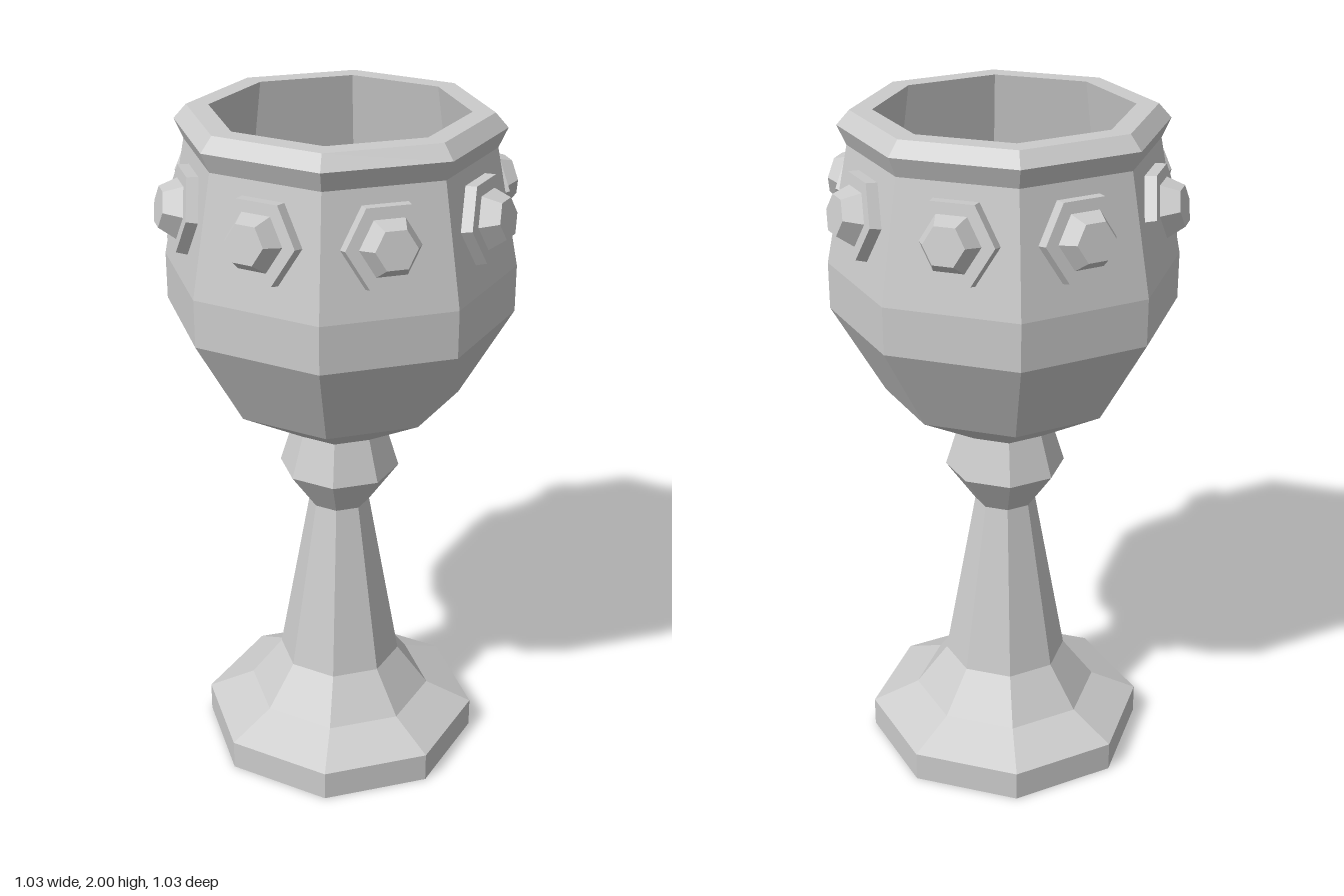
import * as THREE from 'three';

const SIDES = 8;
const material = new THREE.MeshStandardMaterial({ color: 0xcccccc, flatShading: true });

function addMesh(parent, name, geometry) {
  const mesh = new THREE.Mesh(geometry, material);
  mesh.name = name;
  parent.add(mesh);
  return mesh;
}

// Octagonal turning; profile points are [distance to the flat, height]
function turned(profile) {
  const k = 1 / Math.cos(Math.PI / SIDES);
  const points = profile.map(([r, y]) => new THREE.Vector2(r * k, y));
  return new THREE.LatheGeometry(points, SIDES, Math.PI / SIDES);
}

// Tapered hexagonal plate along +z, with corners to the left and right
function hexPlate(rBack, rFront, zBack, zFront) {
  const g = new THREE.CylinderGeometry(rFront, rBack, zFront - zBack, 6, 1, false, Math.PI / 6);
  return g.rotateX(Math.PI / 2).translate(0, 0, (zBack + zFront) / 2);
}

export function createModel() {
  const goblet = new THREE.Group();
  goblet.name = 'goblet';

  addMesh(goblet, 'footAndStem', turned([
    [0, 0], [0.386, 0], [0.386, 0.09], [0.257, 0.155], [0.17, 0.28], [0.083, 0.81],
  ]));
  addMesh(goblet, 'knob', turned([[0.083, 0.81], [0.163, 0.93], [0.127, 1.055]]));

  // Outside, rim and hollow inside of the cup
  addMesh(goblet, 'bowl', turned([
    [0.127, 1.055], [0.32, 1.177], [0.458, 1.435], [0.458, 1.57], [0.397, 1.905],
    [0.42, 1.96], [0.387, 2], [0.33, 2], [0.4, 1.57], [0.4, 1.46], [0, 1.1],
  ]));

  // One jewel in its setting on each flat of the bowl, leaning with the wall
  const settingShape = hexPlate(0.128, 0.12, -0.03, 0.032);
  const gemShape = hexPlate(0.085, 0.057, 0.03, 0.082);
  for (let i = 0; i < SIDES; i++) {
    const spoke = new THREE.Group();
    spoke.name = 'jewel' + (i + 1);
    spoke.rotation.y = (i * 2 * Math.PI) / SIDES;
    const jewel = new THREE.Group();
    jewel.name = 'jewelMount';
    jewel.position.set(0, 1.757, 0.424);
    jewel.rotation.x = -Math.atan2(0.061, 0.335);
    addMesh(jewel, 'setting', settingShape);
    addMesh(jewel, 'gem', gemShape);
    spoke.add(jewel);
    goblet.add(spoke);
  }
  return goblet;
}
